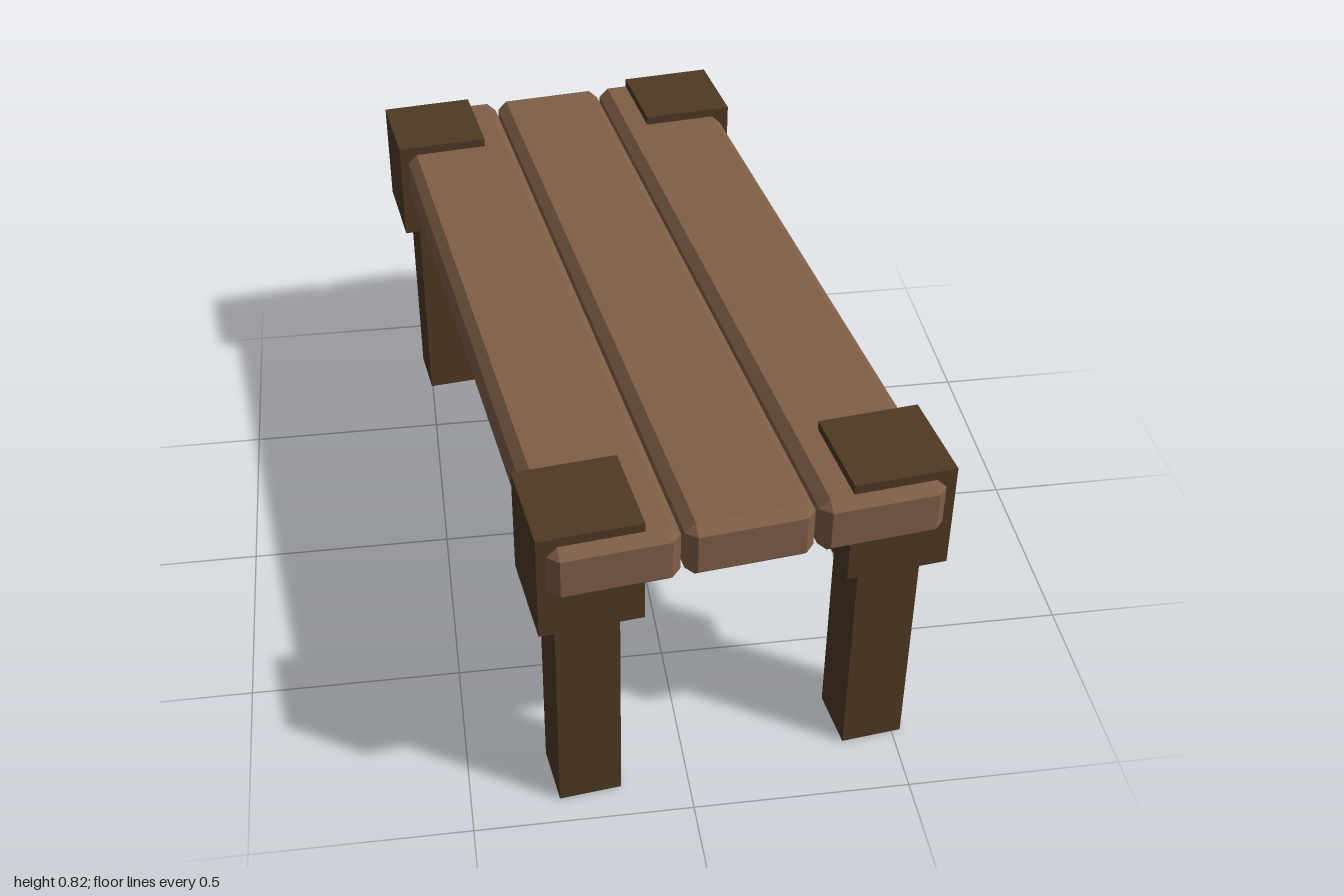
import * as THREE from 'three';
import { ConvexGeometry } from 'three/addons/geometries/ConvexGeometry.js';

const plankMaterial = new THREE.MeshStandardMaterial({ color: 0x805f47, flatShading: true });
const postMaterial = new THREE.MeshStandardMaterial({ color: 0x4f3a24, flatShading: true });

// Box with every edge cut at 45 degrees
function chamferedBox(width, height, depth, cut) {
  const half = [width / 2, height / 2, depth / 2];
  const points = [];
  for (const sx of [-1, 1]) for (const sy of [-1, 1]) for (const sz of [-1, 1]) {
    for (let full = 0; full < 3; full++) {
      const [x, y, z] = half.map((h, i) => (i === full ? h : h - cut));
      points.push(new THREE.Vector3(sx * x, sy * y, sz * z));
    }
  }
  return new ConvexGeometry(points);
}

function addMesh(parent, name, geometry, material, x, y, z) {
  const mesh = new THREE.Mesh(geometry, material);
  mesh.name = name;
  mesh.position.set(x, y, z);
  parent.add(mesh);
}

export function createModel() {
  const model = new THREE.Group();
  model.name = 'plankBench';

  // The whole bench is turned slightly about the vertical axis
  const bench = new THREE.Group();
  bench.name = 'bench';
  bench.rotation.y = THREE.MathUtils.degToRad(7.2);
  model.add(bench);

  // Three long planks side by side
  const plank = chamferedBox(0.284, 0.14, 1.908, 0.023);
  ['rightPlank', 'middlePlank', 'leftPlank'].forEach((name, i) => {
    addMesh(bench, name, plank, plankMaterial, (i - 1) * 0.292, 0.728, 0);
  });

  // Corner blocks clasping the planks, each on a square leg
  const block = new THREE.BoxGeometry(0.23, 0.26, 0.23);
  const leg = new THREE.BoxGeometry(0.144, 0.56, 0.144);
  for (const [side, sx] of [['Left', 1], ['Right', -1]]) {
    for (const [end, sz] of [['front', 1], ['back', -1]]) {
      addMesh(bench, `${end}${side}Block`, block, postMaterial, sx * 0.341, 0.69, sz * 0.816);
      addMesh(bench, `${end}${side}Leg`, leg, postMaterial, sx * 0.341, 0.28, sz * 0.816);
    }
  }
  return model;
}
